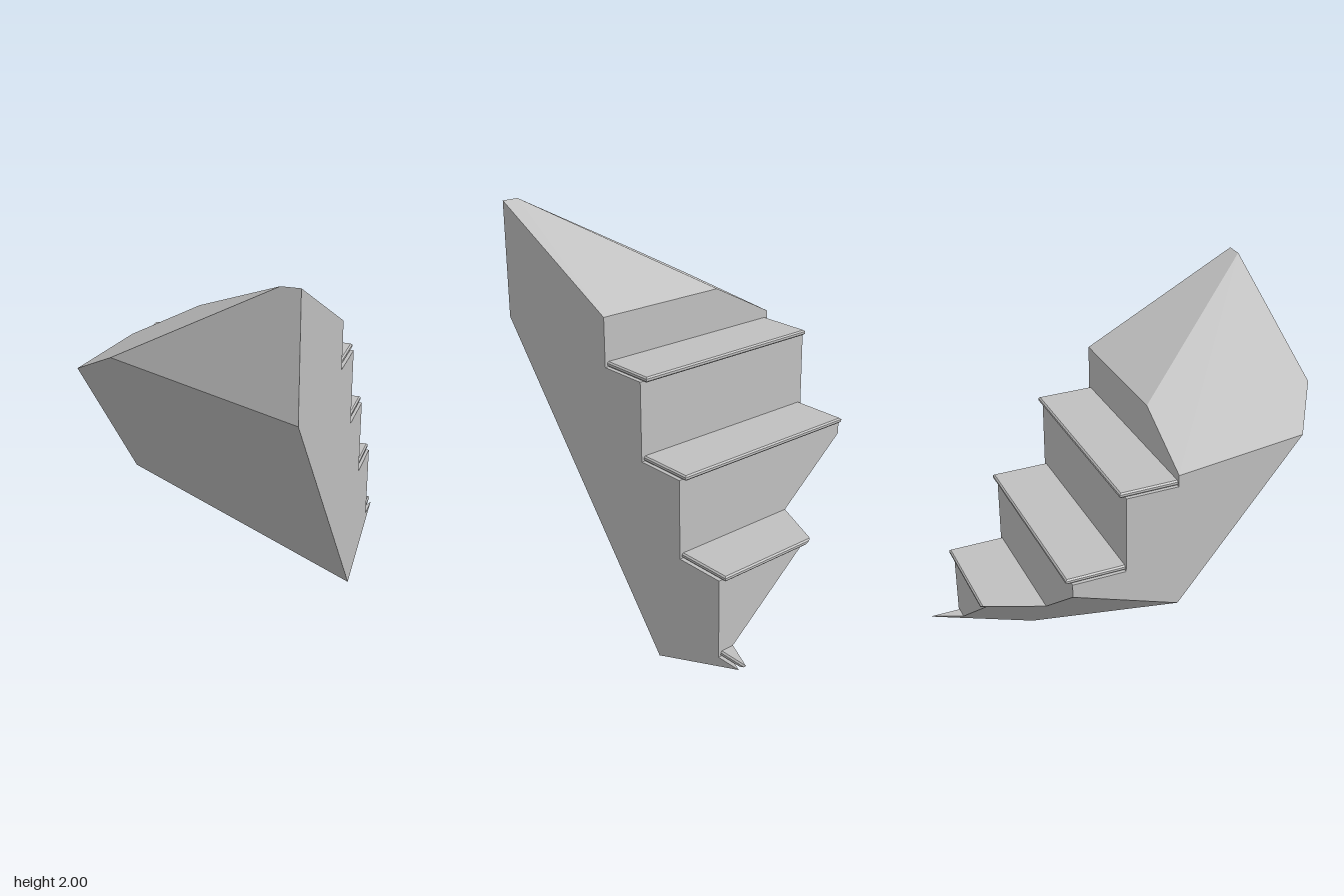
import * as THREE from 'three';
import { ConvexGeometry } from 'three/addons/geometries/ConvexGeometry.js';

// A half-space [a, b, c, d] keeps the points with ax + by + cz <= d.
// The slanted break surfaces that cut the staircase fragment:
const BREAKS = [
  [0, 1, -0.519, 1.553],           // upper break, sloping to the back
  [-0.528, 1, -0.108, 1.68],       // upper break, sloping to the right
  [-0.25, -1, 1.257, -0.4665],     // large front underside
  [-0.832, -1, -0.36, -0.3271],    // lower back underside
];

const box = (x0, x1, y0, y1, z0, z1) => [
  [-1, 0, 0, -x0], [1, 0, 0, x1],
  [0, -1, 0, -y0], [0, 1, 0, y1],
  [0, 0, -1, -z0], [0, 0, 1, z1],
];

// Convex solid bounded by half-spaces: its corners are the triple
// intersections that lie inside all of them.
function solid(halfSpaces) {
  const planes = halfSpaces.map(([a, b, c, d]) => ({ n: new THREE.Vector3(a, b, c), d }));
  const corners = new Map();
  for (let i = 0; i < planes.length; i++)
    for (let j = i + 1; j < planes.length; j++)
      for (let k = j + 1; k < planes.length; k++) {
        const [p, q, r] = [planes[i], planes[j], planes[k]];
        const qr = q.n.clone().cross(r.n);
        const det = p.n.dot(qr);
        if (Math.abs(det) < 1e-6) continue;
        const v = qr.multiplyScalar(p.d)
          .addScaledVector(r.n.clone().cross(p.n), q.d)
          .addScaledVector(p.n.clone().cross(q.n), r.d)
          .divideScalar(det);
        if (planes.every(({ n, d }) => n.dot(v) <= d + 1e-6))
          corners.set(v.toArray().map((t) => Math.round(t * 1e4)).join(), v);
      }
  return new ConvexGeometry([...corners.values()]);
}

// Chamfers along the front and side edges of a tread
function chamfers(x0, x1, y0, y1, z0, c) {
  const list = [];
  for (const [sy, y] of [[1, y1], [-1, -y0]]) {
    list.push([1, sy, 0, x1 + y - c], [-1, sy, 0, -x0 + y - c], [0, sy, -1, -z0 + y - c]);
  }
  return list;
}

export function createModel() {
  const model = new THREE.Group();
  const stone = new THREE.MeshStandardMaterial({ color: 0xc0c0c0 });
  stone.name = 'grey stone';

  const add = (name, halfSpaces) => {
    const mesh = new THREE.Mesh(solid([...halfSpaces, ...BREAKS]), stone);
    mesh.name = name;
    model.add(mesh);
  };

  // Riser positions from the top of the flight down, and the step heights below them
  const risers = [0.087, -0.165, -0.425, -0.685, -0.95];
  const heights = [1.36, 0.975, 0.585, 0.195];

  // Highest block of the body, in front of the first riser
  add('upperBody', box(-0.515, 0.512, -0.1, 2, risers[0], 0.86));

  heights.forEach((y, i) => {
    const back = risers[i + 1], front = risers[i];
    add(`stepBody${i + 1}`, box(-0.515, 0.512, -0.1, y, back, front));

    // Overhanging tread slab
    const [x0, x1, z0, top] = [-0.504, 0.499, back - 0.027, y + 0.025];
    add(`tread${i + 1}`, [
      ...box(x0, x1, y, top, z0, front),
      ...chamfers(x0, x1, y, top, z0, 0.007),
    ]);
  });

  return model;
}
